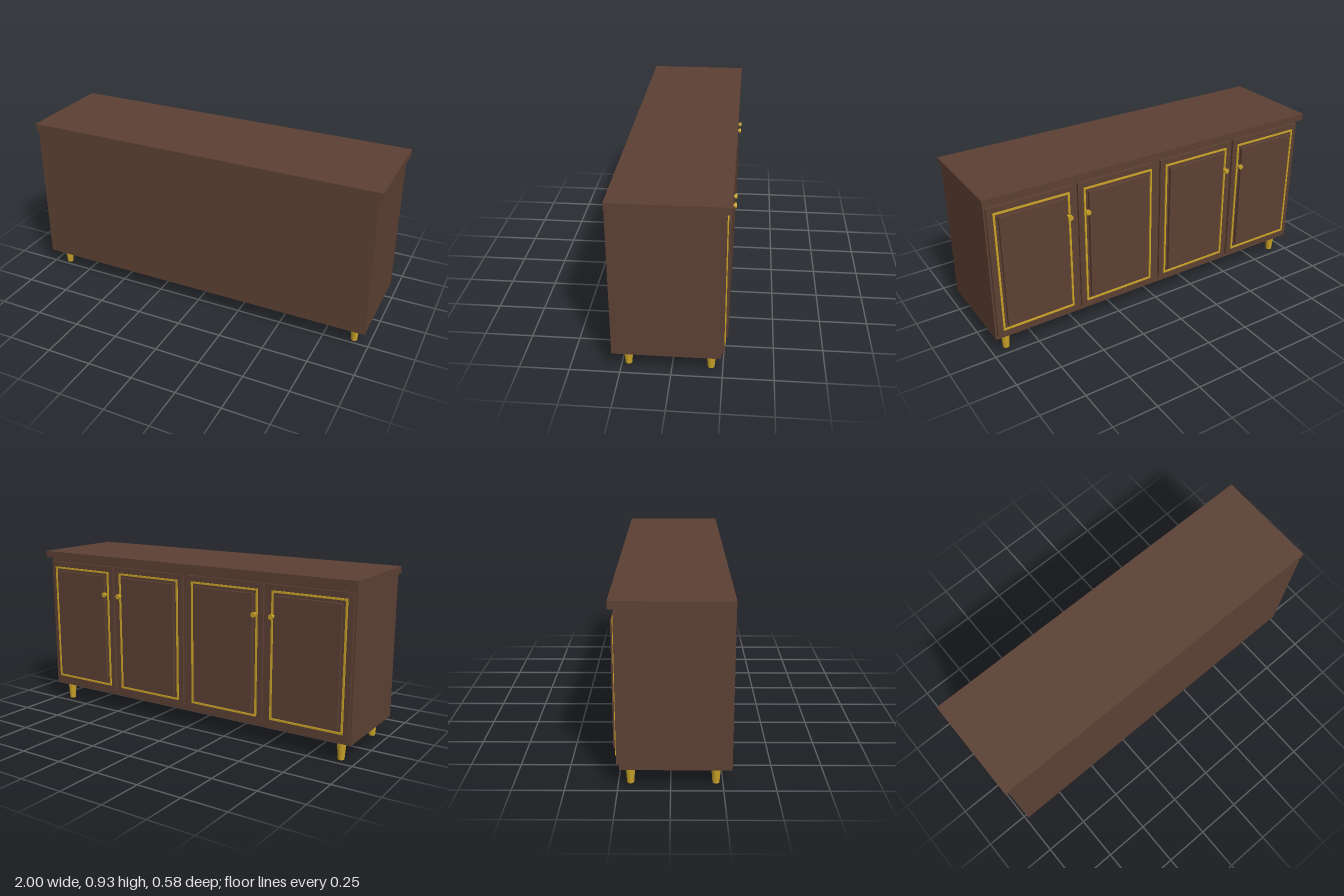
import * as THREE from 'three';

const wood = new THREE.MeshStandardMaterial({ color: 0x5c4033 });
const brass = new THREE.MeshStandardMaterial({ color: 0xc9a227 });

function add(parent, name, geometry, material, x, y, z) {
  const mesh = new THREE.Mesh(geometry, material);
  mesh.name = name;
  mesh.position.set(x, y, z);
  parent.add(mesh);
  return mesh;
}

// box given by its low and high corners
function block(parent, name, material, [x0, y0, z0], [x1, y1, z1]) {
  const geometry = new THREE.BoxGeometry(x1 - x0, y1 - y0, z1 - z0);
  return add(parent, name, geometry, material, (x0 + x1) / 2, (y0 + y1) / 2, (z0 + z1) / 2);
}

// rectangular ring of thin trim
function ringGeometry(w, h, t, depth) {
  const rect = (path, a, b) => path.moveTo(-a, -b).lineTo(a, -b).lineTo(a, b).lineTo(-a, b).closePath();
  const shape = rect(new THREE.Shape(), w / 2, h / 2);
  shape.holes.push(rect(new THREE.Path(), w / 2 - t, h / 2 - t));
  return new THREE.ExtrudeGeometry(shape, { depth, bevelEnabled: false });
}

// one door: slab, brass trim, raised panel and knob
function makeDoor(x, knobX) {
  const door = new THREE.Group();
  door.name = 'door';
  const half = 0.235, midY = 0.495;
  block(door, 'doorSlab', wood, [x - half, 0.125, -0.255], [x + half, 0.865, -0.24]);
  add(door, 'doorTrim', ringGeometry(0.41, 0.68, 0.01, 0.01), brass, x, midY, -0.261);
  block(door, 'doorPanel', wood, [x - half + 0.055, 0.18, -0.271], [x + half - 0.055, 0.81, -0.25]);

  const stem = add(door, 'knobStem', new THREE.CylinderGeometry(0.006, 0.006, 0.03, 16), brass, knobX, 0.705, -0.265);
  const head = add(door, 'knobHead', new THREE.CylinderGeometry(0.014, 0.014, 0.011, 20), brass, knobX, 0.705, -0.2835);
  stem.rotation.x = head.rotation.x = Math.PI / 2;
  return door;
}

export function createModel() {
  const model = new THREE.Group();
  model.name = 'sideboard';

  // carcass and overhanging top
  block(model, 'body', wood, [-0.985, 0.1, -0.241], [0.985, 0.89, 0.29]);
  block(model, 'top', wood, [-1, 0.89, -0.277], [1, 0.927, 0.29]);

  for (const side of [-1, 1]) {
    // a pair of doors with their knobs side by side
    model.add(makeDoor(side * 0.25, side * 0.445));
    model.add(makeDoor(side * 0.74, side * 0.547));

    // tapered feet
    for (const z of [0.217, -0.192]) {
      add(model, 'leg', new THREE.CylinderGeometry(0.025, 0.017, 0.1, 20), brass, side * 0.915, 0.05, z);
    }
  }
  return model;
}
